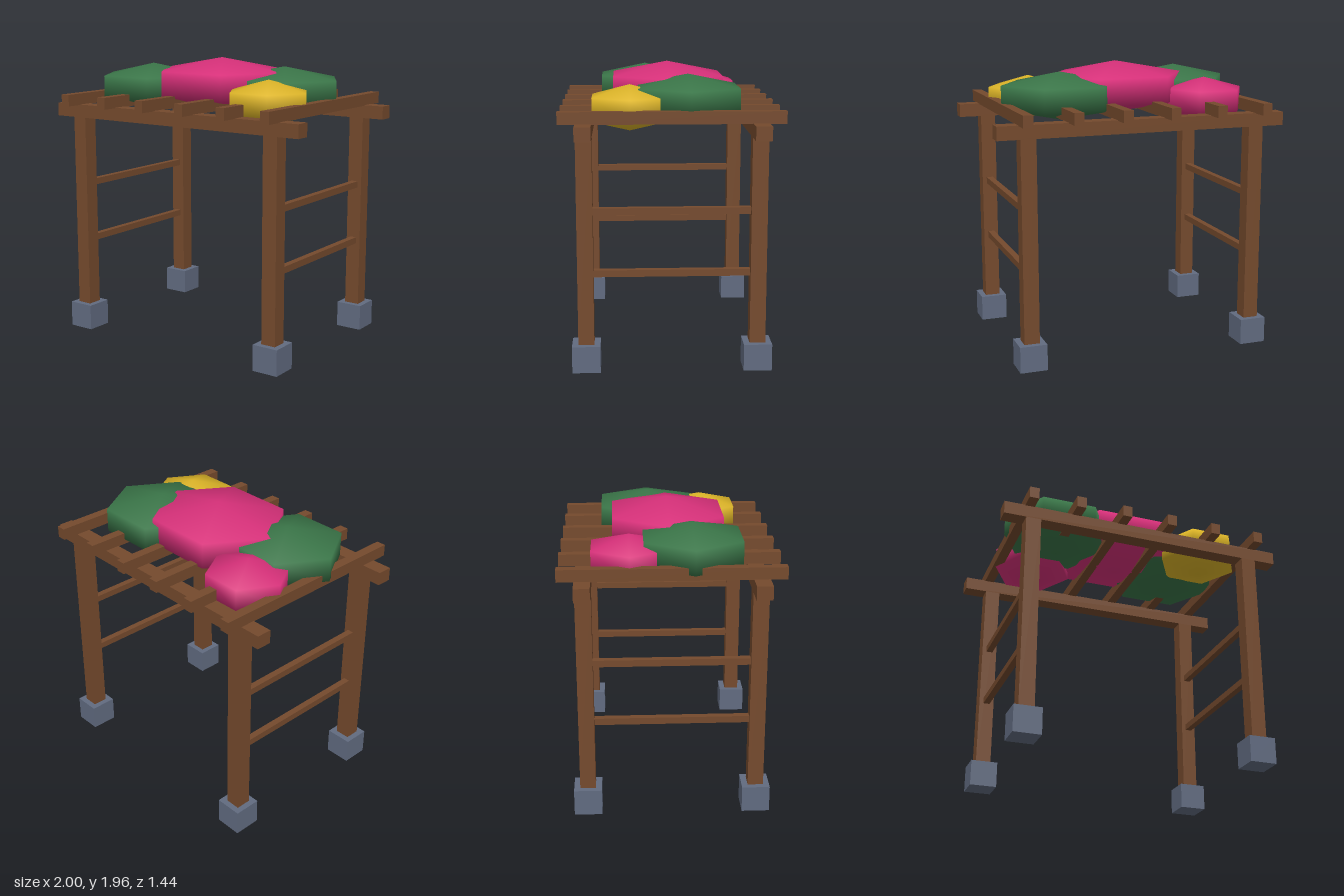
import * as THREE from 'three';

const material = (name, color) => {
  const m = new THREE.MeshStandardMaterial({ color });
  m.name = name;
  return m;
};

export function createModel() {
  const group = new THREE.Group();
  const wood = material('brown wood', 0x754a2d);
  const stone = material('grey stone', 0x616b80);
  const green = material('leaf green', 0x3a7548);
  const pink = material('blossom pink', 0xd63079);
  const yellow = material('blossom yellow', 0xdcb427);

  const add = (name, geometry, mat, x, y, z) => {
    const mesh = new THREE.Mesh(geometry, mat);
    mesh.name = name;
    mesh.position.set(x, y, z);
    group.add(mesh);
  };
  const box = (name, mat, w, h, d, x, y, z) =>
    add(name, new THREE.BoxGeometry(w, h, d), mat, x, y, z);

  const postX = 0.796, postZ = 0.56;

  // Posts standing on stone footings
  for (const sx of [-1, 1]) {
    for (const sz of [-1, 1]) {
      box('footing', stone, 0.185, 0.178, 0.185, sx * postX, 0.089, sz * postZ);
      box('post', wood, 0.104, 1.36, 0.104, sx * postX, 0.857, sz * postZ);
    }
    // Side rungs between the posts
    for (const y of [0.65, 1.06])
      box('sideRung', wood, 0.045, 0.045, 1.02, sx * postX, y, 0);
  }

  // Long beams front and back
  for (const sz of [-1, 1])
    box('beam', wood, 2, 0.091, 0.104, 0, 1.582, sz * postZ);

  // Rafters across the beams
  for (let i = 0; i < 6; i++)
    box('rafter', wood, 0.066, 0.08, 1.444, -0.825 + i * 0.33, 1.664, 0);

  // Low-poly foliage and blossom mounds: flattened six-sided spheres
  const mound = (name, mat, x, y, z, rx, ry, rz) =>
    add(name, new THREE.SphereGeometry(1, 6, 3).scale(rx, ry, rz), mat, x, y, z);
  mound('centreBlossom', pink, 0, 1.777, 0, 0.568, 0.179, 0.498);
  mound('rightFoliage', green, -0.5, 1.741, 0.144, 0.442, 0.163, 0.424);
  mound('leftFoliage', green, 0.44, 1.741, -0.12, 0.471, 0.163, 0.442);
  mound('frontBlossom', yellow, 0.56, 1.697, 0.265, 0.328, 0.151, 0.325);
  mound('backBlossom', pink, -0.56, 1.697, -0.265, 0.322, 0.151, 0.325);

  return group;
}
